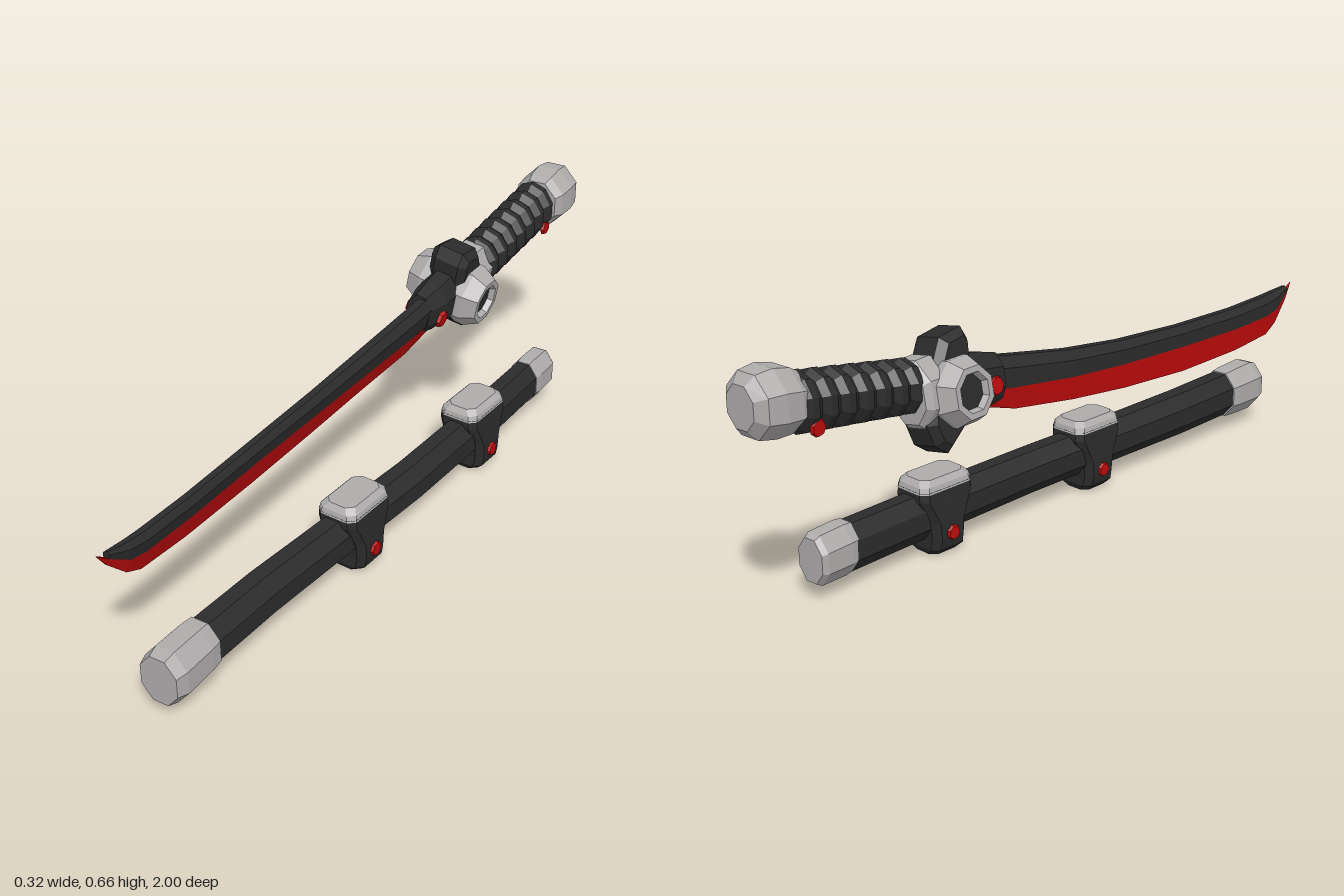
import * as THREE from 'three';

const black = new THREE.MeshStandardMaterial({ color: 0x2b2b2c });
const silver = new THREE.MeshStandardMaterial({ color: 0xaeabab });
const red = new THREE.MeshStandardMaterial({ color: 0xbe0b0b });
black.name = 'charcoal black';
silver.name = 'silver grey';
red.name = 'signal red';

// Faceted normals for a low-poly look
function faceted(geometry) {
  const g = geometry.index ? geometry.toNonIndexed() : geometry;
  g.computeVertexNormals();
  return g;
}

// Skin a list of counter-clockwise cross-sections running towards +z, with end caps
function loft(sections) {
  const n = sections[0].length, pos = [];
  const tri = (...pts) => pts.forEach(p => pos.push(...p));
  for (let i = 0; i + 1 < sections.length; i++) {
    const a = sections[i], b = sections[i + 1];
    for (let j = 0; j < n; j++) {
      const k = (j + 1) % n;
      tri(a[j], a[k], b[k]);
      tri(a[j], b[k], b[j]);
    }
  }
  const first = sections[0], last = sections[sections.length - 1];
  for (let j = 1; j + 1 < n; j++) {
    tri(first[0], first[j + 1], first[j]);
    tri(last[0], last[j], last[j + 1]);
  }
  const g = new THREE.BufferGeometry();
  g.setAttribute('position', new THREE.Float32BufferAttribute(pos, 3));
  return faceted(g);
}

// Many-sided tube through rows of [z, x, y, radiusX, radiusY]
function tube(rows, sides = 8) {
  return loft(rows.map(([z, x, y, rx, ry]) => Array.from({ length: sides }, (_, j) => {
    const a = (j + 0.5) / sides * Math.PI * 2;
    return [x + rx * 1.05 * Math.cos(a), y + ry * 1.05 * Math.sin(a), z];
  })));
}

// Upright block through rows of [y, halfX, halfZ], with chamfered corners
function block(rows) {
  return loft(rows.map(([y, hx, hz]) => {
    const c = 0.018;
    return [[hx, -hz + c], [hx, hz - c], [hx - c, hz], [-hx + c, hz],
      [-hx, hz - c], [-hx, -hz + c], [-hx + c, -hz], [hx - c, -hz]].map(([x, z]) => [x, z, y]);
  })).rotateX(-Math.PI / 2);
}

function add(parent, name, geometry, material, x = 0, y = 0, z = 0) {
  const m = new THREE.Mesh(geometry, material);
  m.name = name;
  m.position.set(x, y, z);
  parent.add(m);
  return m;
}

// Thin round studs on both sides of a part
function studs(parent, name, x, y, z, halfWidth, radius) {
  for (const s of [-1, 1]) {
    const g = faceted(new THREE.CylinderGeometry(radius * 0.85, radius, 0.009, 7));
    add(parent, name, g.rotateZ(-s * Math.PI / 2), red, x + s * halfWidth, y, z);
  }
}

function makeSheath() {
  const sheath = new THREE.Group();
  sheath.name = 'sheath';
  add(sheath, 'sheathBody', tube([
    [-0.68, 0.097, 0.113, 0.045, 0.065], [-0.34, 0.086, 0.113, 0.049, 0.064],
    [0, 0.066, 0.114, 0.051, 0.062], [0.22, 0.044, 0.116, 0.052, 0.062],
    [0.6, 0.008, 0.12, 0.053, 0.065], [0.85, -0.005, 0.123, 0.054, 0.066],
  ]), black);
  add(sheath, 'sheathFrontCap', tube([
    [0.81, -0.004, 0.122, 0.057, 0.07], [0.84, -0.005, 0.122, 0.061, 0.073],
    [0.935, -0.007, 0.121, 0.062, 0.076], [0.965, -0.008, 0.121, 0.053, 0.066],
  ]), silver);
  add(sheath, 'sheathRearCap', tube([
    [-0.75, 0.098, 0.113, 0.042, 0.058], [-0.735, 0.098, 0.113, 0.049, 0.067],
    [-0.66, 0.097, 0.114, 0.05, 0.069], [-0.635, 0.097, 0.114, 0.046, 0.066],
  ]), silver);

  // Two clasps, flared at the top with a grey saddle plate
  for (const [x, z] of [[0.047, 0.226], [0.085, -0.34]]) {
    const clasp = new THREE.Group();
    clasp.name = 'clasp';
    clasp.position.set(x, 0, z);
    clasp.rotation.y = -0.07;
    sheath.add(clasp);
    add(clasp, 'claspBody', block([
      [0.006, 0.04, 0.045], [0.025, 0.06, 0.056], [0.055, 0.066, 0.054], [0.1, 0.066, 0.058],
      [0.145, 0.062, 0.078], [0.165, 0.06, 0.087], [0.19, 0.058, 0.086],
    ]), black);
    add(clasp, 'claspPlate', block([
      [0.185, 0.059, 0.087], [0.202, 0.055, 0.083], [0.216, 0.042, 0.07],
    ]), silver);
    studs(clasp, 'claspStud', 0, 0.067, 0, 0.069, 0.021);
  }
  return sheath;
}

function makeBlade(parent) {
  // Rows of z, centre x, spine y, colour line y, edge y, half thickness
  const rows = [
    [-0.36, -0.035, 0.545, 0.46, 0.425, 0.032], [-0.2, -0.052, 0.515, 0.437, 0.378, 0.03],
    [0, -0.075, 0.483, 0.415, 0.352, 0.028], [0.2, -0.09, 0.461, 0.4, 0.332, 0.025],
    [0.45, -0.104, 0.445, 0.388, 0.316, 0.023], [0.7, -0.112, 0.436, 0.379, 0.314, 0.022],
    [0.86, -0.116, 0.438, 0.381, 0.324, 0.021], [0.91, -0.117, 0.441, 0.39, 0.348, 0.019],
    [0.97, -0.118, 0.447, 0.428, 0.408, 0.01], [1, -0.118, 0.453, 0.451, 0.449, 0.002],
  ];
  const at = (row, y, half) => [row[1] + 0.15 * (y - row[3]) + half, y, row[0]];
  add(parent, 'bladeBody', loft(rows.slice(0, 9).map(r => {
    const [, , top, line, , t] = r, mid = line + (top - line) * 0.65;
    return [at(r, line, t * 0.8), at(r, mid, t), at(r, top, t * 0.4),
      at(r, top, -t * 0.4), at(r, mid, -t), at(r, line, -t * 0.8)];
  })), black);
  add(parent, 'bladeEdge', loft(rows.map(r => {
    const [, , , line, edge, t] = r;
    return [at(r, line, t * 0.8), at(r, line, -t * 0.8), at(r, edge, -t * 0.2), at(r, edge, t * 0.2)];
  })), red);
}

function makeGuard(parent) {
  const guard = new THREE.Group();
  guard.name = 'guard';
  guard.position.set(-0.04, 0.485, -0.435);
  guard.rotation.z = -0.18;
  parent.add(guard);

  // Slanted guard plate, drawn as z and y then turned to face sideways
  const outline = [[0.055, 0.14], [-0.015, 0.13], [-0.045, 0.08], [-0.08, 0.03], [-0.095, -0.06],
    [-0.08, -0.11], [-0.045, -0.135], [0.02, -0.09], [0.065, -0.045], [0.065, 0.05], [0.07, 0.11]];
  const shape = new THREE.Shape(outline.map(([z, y]) => new THREE.Vector2(-z, y)));
  const plate = new THREE.ExtrudeGeometry(shape, {
    depth: 0.07, bevelEnabled: true, bevelThickness: 0.02, bevelSize: 0.018, bevelOffset: -0.014, bevelSegments: 1,
  });
  add(guard, 'guardPlate', faceted(plate.translate(0, 0, -0.035).rotateY(Math.PI / 2)), black);

  // Grey side rings with dark recessed centres
  const profile = [[0.07, 0.02], [0.088, 0.04], [0.088, 0.068], [0.066, 0.11], [0.05, 0.11], [0.041, 0.088]]
    .map(([r, h]) => new THREE.Vector2(r, h));
  for (const s of [-1, 1]) {
    const ring = faceted(new THREE.LatheGeometry(profile, 8).rotateY(Math.PI / 8));
    add(guard, 'guardRing', ring.rotateZ(-s * Math.PI / 2), silver);
    const hub = faceted(new THREE.CylinderGeometry(0.045, 0.045, 0.04, 8).rotateY(Math.PI / 8));
    add(guard, 'guardHub', hub.rotateZ(-s * Math.PI / 2), black, s * 0.074);
  }
  add(guard, 'guardCollar', tube([
    [-0.112, 0, 0.015, 0.058, 0.07], [-0.095, 0, 0.015, 0.07, 0.085],
    [-0.05, 0, 0.012, 0.07, 0.09], [-0.02, 0, 0.01, 0.055, 0.08],
  ]), silver);

  // Block that holds the root of the blade
  add(guard, 'bladeSocket', tube([
    [0.03, 0, 0.005, 0.056, 0.08], [0.12, -0.002, -0.005, 0.052, 0.072], [0.18, -0.006, -0.01, 0.036, 0.06],
  ]), black);
  studs(guard, 'socketStud', -0.002, -0.022, 0.133, 0.05, 0.026);
}

function makeHandle(parent) {
  // Ribbed grip: each wrap swells and pinches in
  const wraps = 7, rows = [];
  for (let i = 0; i <= wraps * 3; i++) {
    const t = i / (wraps * 3), k = i % 3 === 0 ? 0.83 : 1.02;
    rows.push([-0.88 + t * 0.36, -0.008 - t * 0.016, 0.571 - t * 0.053, 0.062 * k, (0.071 - t * 0.006) * k]);
  }
  add(parent, 'handleGrip', tube(rows, 10), black);
  studs(parent, 'handleStud', -0.01, 0.517, -0.845, 0.053, 0.022);
  add(parent, 'pommel', tube([
    [-0.997, 0.008, 0.59, 0.045, 0.052], [-0.975, 0.008, 0.589, 0.07, 0.076],
    [-0.93, 0.006, 0.587, 0.078, 0.083], [-0.885, 0.004, 0.582, 0.075, 0.078], [-0.862, 0.002, 0.579, 0.062, 0.068],
  ]), silver);
}

export function createModel() {
  const model = new THREE.Group();
  model.name = 'swordAndSheath';
  const sword = new THREE.Group();
  sword.name = 'sword';
  makeBlade(sword);
  makeGuard(sword);
  makeHandle(sword);
  model.add(sword, makeSheath());
  return model;
}
